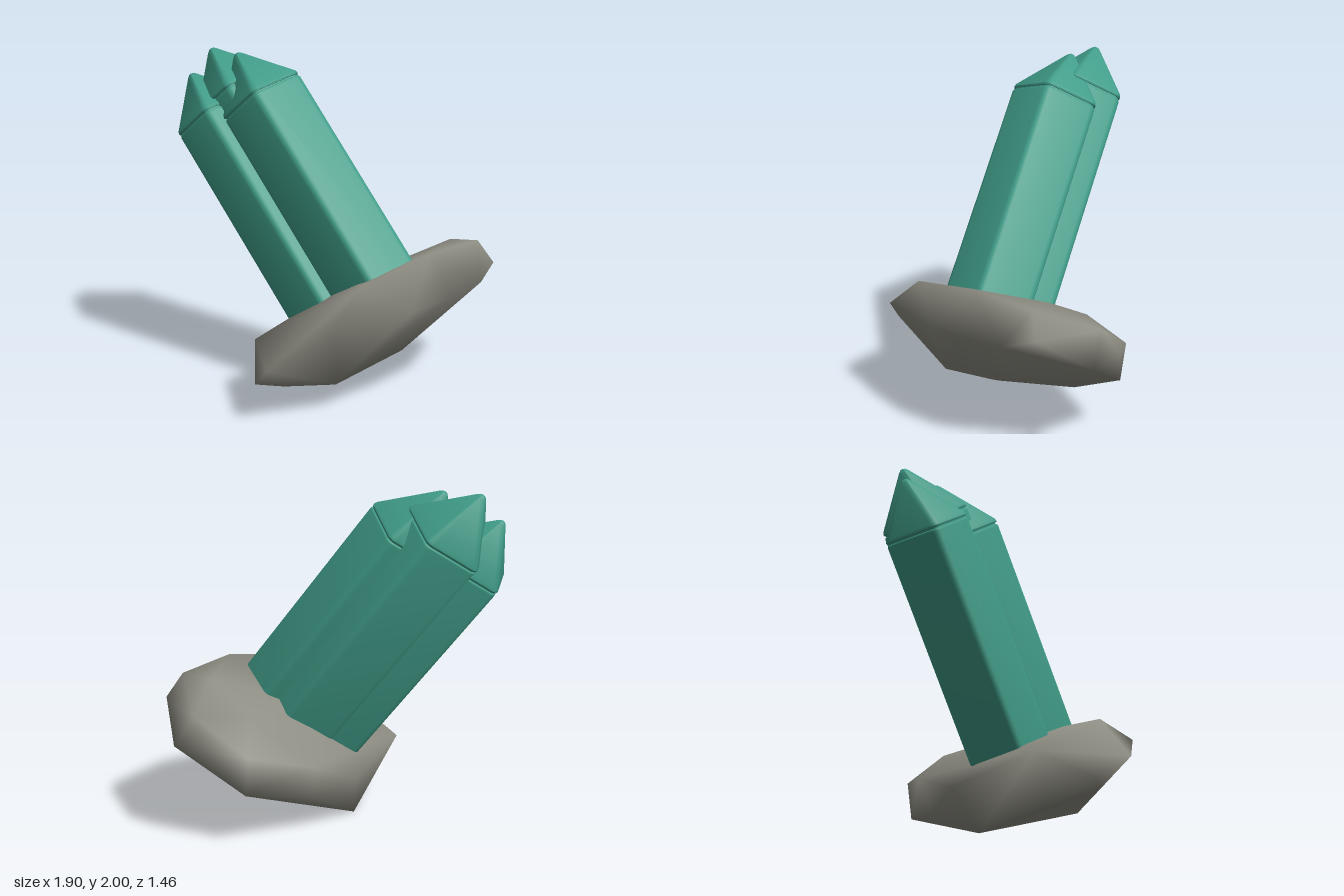
import * as THREE from 'three';
import { mergeVertices, toCreasedNormals } from 'three/addons/utils/BufferGeometryUtils.js';
import { ConvexGeometry } from 'three/addons/geometries/ConvexGeometry.js';

const SIDES = 5, RADIUS = 0.283, ROUND = 0.045, ARC = 4;

// Outline of a pentagon with rounded corners, as [x, z] pairs.
function roundedPentagon() {
  const pts = [], d = RADIUS - ROUND / Math.cos(Math.PI / SIDES);
  for (let i = 0; i < SIDES; i++) {
    const mid = (i / SIDES) * Math.PI * 2;
    for (let k = 0; k <= ARC; k++) {
      const a = mid + (k / ARC - 0.5) * (Math.PI * 2 / SIDES);
      pts.push([d * Math.cos(mid) + ROUND * Math.cos(a), d * Math.sin(mid) + ROUND * Math.sin(a)]);
    }
  }
  return pts;
}

// Skin the outline through a list of [scale, height] rings, bottom to top.
function loft(outline, rings) {
  const pos = [], n = outline.length;
  const at = ([s, y], i) => [outline[i % n][0] * s, y, outline[i % n][1] * s];
  for (let r = 0; r < rings.length - 1; r++) {
    const lo = rings[r], hi = rings[r + 1];
    for (let i = 0; i < n; i++) {
      const a = at(lo, i), b = at(lo, i + 1), c = at(hi, i + 1), d = at(hi, i);
      if (lo[0] > 0) pos.push(...a, ...c, ...b);
      if (hi[0] > 0) pos.push(...a, ...d, ...c);
    }
  }
  const geo = new THREE.BufferGeometry();
  geo.setAttribute('position', new THREE.Float32BufferAttribute(pos, 3));
  return toCreasedNormals(geo, 0.6);
}

export function createModel() {
  const model = new THREE.Group();
  model.name = 'crystalCluster';

  const crystalGreen = new THREE.MeshStandardMaterial({ color: 0x409c88 });
  crystalGreen.name = 'crystalGreen';
  const stoneGrey = new THREE.MeshStandardMaterial({ color: 0x8e8d83 });
  stoneGrey.name = 'stoneGrey';

  // Leaning frame shared by all the crystals
  const axis = new THREE.Vector3(-0.497, 0.789, -0.363).normalize();
  const side = new THREE.Vector3(0.749, 0.601, 0.284);
  side.addScaledVector(axis, -side.dot(axis)).normalize();
  const frame = new THREE.Matrix4().makeBasis(side, axis, side.clone().cross(axis));

  const outline = roundedPentagon();
  const shaft = loft(outline, [[0, -1.55], [1, -1.55], [1, -0.025], [0.985, -0.015], [0.955, -0.01], [0.955, 0.01]]);
  const cap = loft(outline, [[0.9, -0.003], [0.985, -0.003], [1, 0.006], [0.98, 0.022], [0.12, 0.305], [0.06, 0.32], [0, 0.325]]);

  // Each crystal is placed by the centre of its shoulder, with a size
  const crystals = {
    frontCrystal: [-0.43, 1.735, -0.33, 1],
    backCrystal: [-0.59, 1.74, -0.51, 1],
    sideCrystal: [-0.725, 1.6, -0.495, 0.95],
  };
  for (const [name, [x, y, z, size]] of Object.entries(crystals)) {
    const crystal = new THREE.Group();
    crystal.name = name;
    const body = new THREE.Mesh(shaft, crystalGreen);
    body.name = 'shaft';
    const tip = new THREE.Mesh(cap, crystalGreen);
    tip.name = 'pointedCap';
    crystal.add(body, tip);
    crystal.quaternion.setFromRotationMatrix(frame);
    crystal.position.set(x, y, z);
    crystal.scale.setScalar(size);
    model.add(crystal);
  }

  // Tilted boulder: corner points wrapped in a hull, smoothly shaded
  const corners = [
    // underside
    [-0.15, 0, -0.16], [-0.36, 0.08, 0.2], [0.05, 0.08, -0.1], [-0.33, 0.2, 0.5], [-0.15, 0.1, 0.2],
    [-0.03, 0.165, 0.4], [0.2, 0.18, 0.1], [0.27, 0.19, -0.2], [0.38, 0.28, 0.16], [0.58, 0.3, -0.3],
    [0.77, 0.44, -0.32], [0.15, 0.23, -0.43],
    // rim
    [0.58, 0.33, -0.57], [0.57, 0.56, -0.6], [0.8, 0.6, -0.52], [0.95, 0.58, -0.35], [0.95, 0.77, -0.02],
    [0.85, 0.7, 0.15], [0.64, 0.68, 0.36], [0.4, 0.64, 0.51], [-0.06, 0.61, 0.73], [-0.43, 0.36, 0.67],
    [-0.5, 0.2, 0.46], [-0.5, 0.36, 0.14], [-0.12, 0.28, -0.32], [0.18, 0.45, -0.52],
    // top
    [0.84, 0.77, -0.41], [0.85, 0.91, -0.02], [0.7, 0.89, -0.13], [0.53, 0.92, 0.27], [0.1, 0.81, 0.56],
    [-0.15, 0.65, 0.46], [0.5, 0.72, -0.38], [0.09, 0.67, -0.03],
  ].map((p) => new THREE.Vector3(...p));
  let hull = new ConvexGeometry(corners);
  hull.deleteAttribute('normal');
  hull = mergeVertices(hull);
  hull.computeVertexNormals();
  const rock = new THREE.Mesh(hull, stoneGrey);
  rock.name = 'rockBase';
  model.add(rock);

  return model;
}
